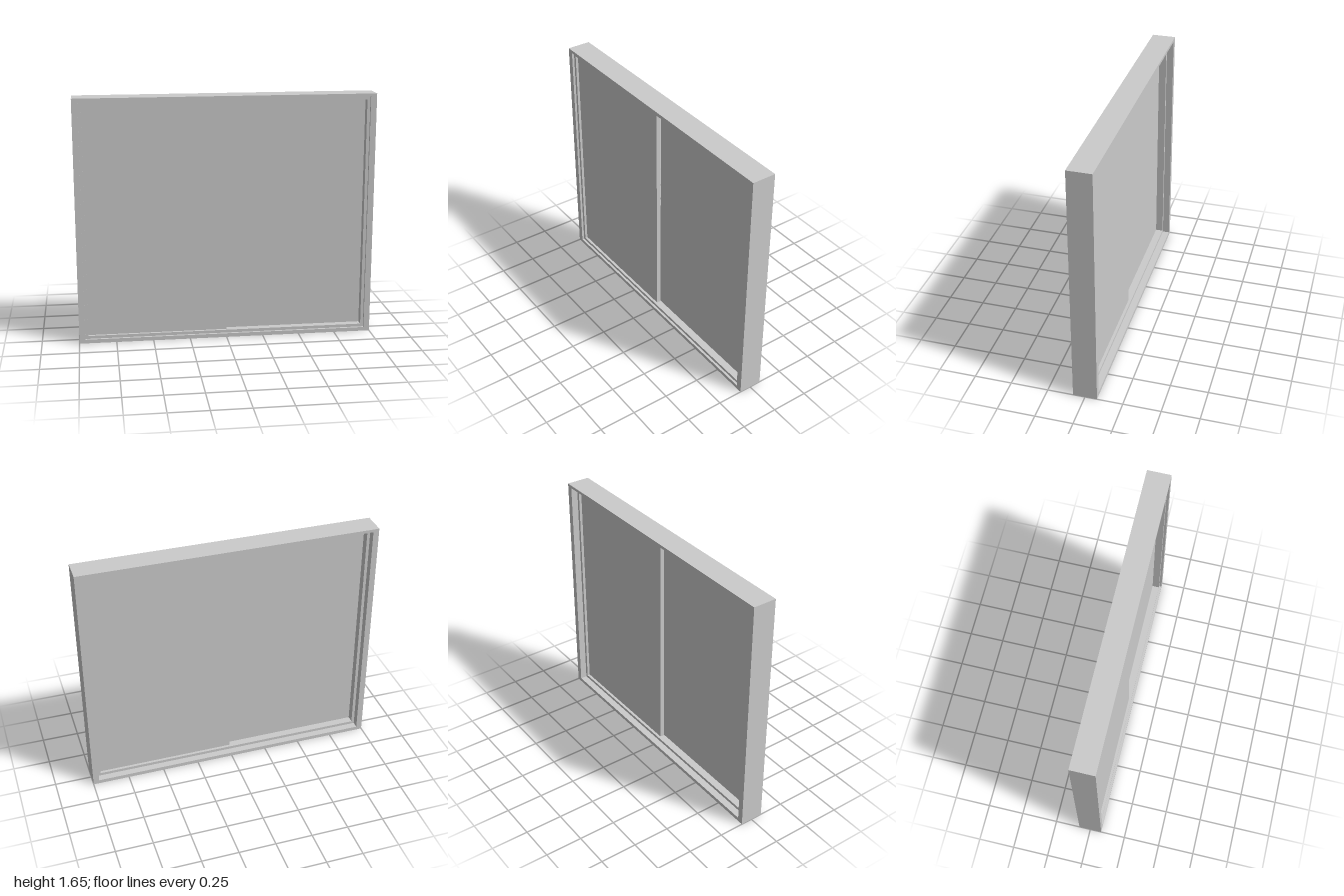
import * as THREE from 'three';

const W = 2, H = 1.655, D = 0.16;
const material = new THREE.MeshStandardMaterial({ color: 0xcccccc, flatShading: true });

// Rectangular ring from z0 to z1; each box is [left, right, bottom, top]
function ring(name, outer, inner, z0, z1) {
  const trace = (path, [l, r, b, t]) =>
    path.moveTo(l, b).lineTo(r, b).lineTo(r, t).lineTo(l, t).closePath();
  const shape = trace(new THREE.Shape(), outer);
  shape.holes.push(trace(new THREE.Path(), inner));
  const geometry = new THREE.ExtrudeGeometry(shape, { depth: z1 - z0, bevelEnabled: false });
  geometry.translate(0, 0, z0);
  const mesh = new THREE.Mesh(geometry, material);
  mesh.name = name;
  return mesh;
}

// Flat sliding panel
function panel(name, [l, r, b, t], z0, z1) {
  const mesh = new THREE.Mesh(new THREE.BoxGeometry(r - l, t - b, z1 - z0), material);
  mesh.position.set((l + r) / 2, (b + t) / 2, (z0 + z1) / 2);
  mesh.name = name;
  return mesh;
}

export function createModel() {
  const group = new THREE.Group();
  group.name = 'slidingWindow';

  // Outer frame and the stepped track inside it
  const opening = [-0.96, 0.96, 0.026, 1.635];
  const track = [-0.94, 0.94, 0.046, 1.614];
  group.add(ring('outerFrame', [-W / 2, W / 2, 0, H], opening, -D / 2, D / 2));
  group.add(ring('innerTrack', opening, track, -0.033, 0.064));

  // Two panels on neighbouring tracks, meeting at the middle
  const [l, r, b, t] = track;
  group.add(panel('frontPanel', [l, 0.002, b, t], 0.018, 0.046));
  group.add(panel('backPanel', [-0.002, r, b, t], -0.014, 0.014));
  return group;
}
